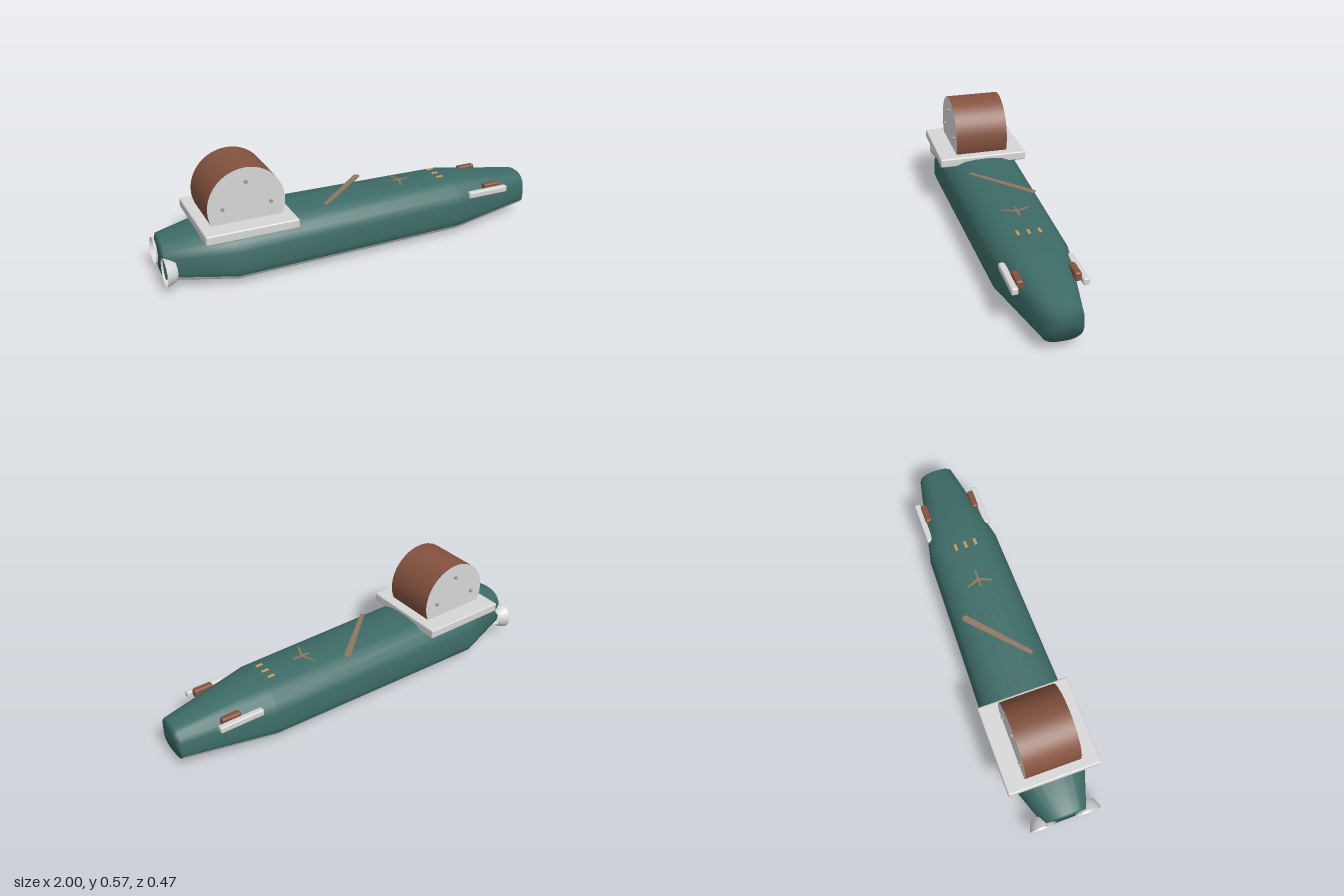
import * as THREE from 'three';
import { RoundedBoxGeometry } from 'three/addons/geometries/RoundedBoxGeometry.js';

function material(name, color, side = THREE.FrontSide) {
  const m = new THREE.MeshStandardMaterial({ color, side });
  m.name = name;
  return m;
}

// Half outline from keel to deck: fraction of half width, fraction of height
const OUTLINE = [[0, 0], [0.32, 0], [0.63, 0.04], [0.86, 0.11], [0.95, 0.185], [1, 0.31],
  [0.98, 0.62], [0.9, 0.78], [0.72, 0.9], [0.5, 0.97], [0.2, 1], [0, 1]];
const WATERLINE = 4;

// Stations: x, half width, bottom, top
const STATIONS = [[-0.99, 0.108, 0.03, 0.24], [-0.67, 0.222, 0.003, 0.287],
  [0.54, 0.19, 0.003, 0.287], [1, 0.095, 0.044, 0.224]];

function hullGeometry() {
  const ring = [...OUTLINE, ...OUTLINE.slice(1, -1).reverse().map(([w, h]) => [-w, h])];
  const n = ring.length;
  const positions = [];
  for (const [x, width, low, high] of STATIONS) {
    for (const [w, h] of ring) positions.push(x, low + h * (high - low), w * width);
  }
  const upper = [], lower = [];
  for (let i = 0; i < STATIONS.length - 1; i++) {
    for (let j = 0; j < n; j++) {
      const k = (j + 1) % n;
      const a = i * n + j, b = a + n, c = (i + 1) * n + k, d = i * n + k;
      const list = j < WATERLINE || j >= n - WATERLINE ? lower : upper;
      list.push(a, b, c, a, c, d);
    }
  }
  // End caps
  for (const s of [0, STATIONS.length - 1]) {
    const [x, , low, high] = STATIONS[s];
    const centre = positions.length / 3;
    positions.push(x, (low + high) / 2, 0);
    for (let j = 0; j < n; j++) {
      const a = s * n + j, b = s * n + (j + 1) % n;
      if (s === 0) upper.push(centre, a, b);
      else upper.push(centre, b, a);
    }
  }
  const g = new THREE.BufferGeometry();
  g.setAttribute('position', new THREE.Float32BufferAttribute(positions, 3));
  g.setIndex([...upper, ...lower]);
  g.addGroup(0, upper.length, 0);
  g.addGroup(upper.length, lower.length, 1);
  g.computeVertexNormals();
  return g;
}

// Flat tapered bar along +x with a rounded tip, lying in the deck plane
function barGeometry(length, startWidth, endWidth, thickness) {
  const r = endWidth / 2;
  const shape = new THREE.Shape();
  shape.moveTo(0, -startWidth / 2);
  shape.lineTo(length - r, -r);
  shape.absarc(length - r, 0, r, -Math.PI / 2, Math.PI / 2, false);
  shape.lineTo(0, startWidth / 2);
  shape.closePath();
  return new THREE.ExtrudeGeometry(shape, { depth: thickness, bevelEnabled: false, curveSegments: 8 })
    .rotateX(-Math.PI / 2);
}

export function createModel() {
  const model = new THREE.Group();
  model.name = 'vessel';
  const teal = material('teal', 0x3d6b66);
  const grey = material('light grey', 0xd6d6d6, THREE.DoubleSide);
  const brown = material('brown', 0x84523e);
  const bolt = material('bolt', 0xa9a38c);
  const wood = material('wood', 0x8c7660);
  const gold = material('gold', 0xc49a54);

  function add(name, geometry, mat, x = 0, y = 0, z = 0) {
    const mesh = new THREE.Mesh(geometry, mat);
    mesh.name = name;
    mesh.position.set(x, y, z);
    model.add(mesh);
    return mesh;
  }

  add('hull', hullGeometry(), [teal, grey]);

  // Drum on its mounting plate
  add('drumPlate', new RoundedBoxGeometry(0.455, 0.048, 0.474, 2, 0.008), grey, -0.597, 0.281, 0);
  const drum = new THREE.CylinderGeometry(0.19, 0.19, 0.28, 48).rotateX(Math.PI / 2);
  add('drum', drum, [brown, grey, grey], -0.595, 0.38, 0);

  // Bolts on both drum faces
  const boltGeometry = new THREE.CylinderGeometry(0.009, 0.009, 0.02, 10).rotateX(Math.PI / 2);
  for (const side of [1, -1]) {
    for (const [dx, dy] of [[-0.118, 0], [0, 0.12], [0.118, 0]]) {
      add('drumBolt', boltGeometry, bolt, -0.595 + dx, 0.38 + dy, side * 0.14);
    }
  }

  // Open flared bells at the stern
  const bellProfile = [[0.042, 0], [0.05, 0.01], [0.058, 0.025], [0.064, 0.04], [0.069, 0.055]]
    .map(([r, h]) => new THREE.Vector2(r, h));
  const bellGeometry = new THREE.LatheGeometry(bellProfile, 32).rotateZ(Math.PI / 2);

  // Paired side parts
  for (const side of [1, -1]) {
    add('sternBell', bellGeometry, grey, -0.945, 0.105, side * 0.118);
    add('sideTube', new RoundedBoxGeometry(0.23, 0.034, 0.032, 3, 0.008), grey, 0.72, 0.208, side * 0.161);
    add('tubeHousing', new RoundedBoxGeometry(0.1, 0.044, 0.034, 3, 0.01), brown, 0.76, 0.221, side * 0.132);
  }

  // Diagonal spar lying on the deck, wider at its forward end
  const spar = add('deckSpar', barGeometry(0.4, 0.022, 0.034, 0.004), wood, -0.192, 0.292, 0.12);
  spar.rotation.y = Math.atan2(0.25, 0.28);

  // Star-shaped deck fitting
  for (const [angle, length] of [[0, 0.052], [1.95, 0.075], [-1.95, 0.075], [Math.PI, 0.045]]) {
    const arm = add('starArm', barGeometry(length, 0.014, 0.009, 0.004), wood, 0.278, 0.291, -0.003);
    arm.rotation.y = angle;
  }

  // Row of small deck plates
  for (const z of [-0.053, 0, 0.053]) {
    add('deckPlate', new RoundedBoxGeometry(0.038, 0.006, 0.015, 2, 0.002), gold, 0.488, 0.294, z);
  }
  return model;
}
